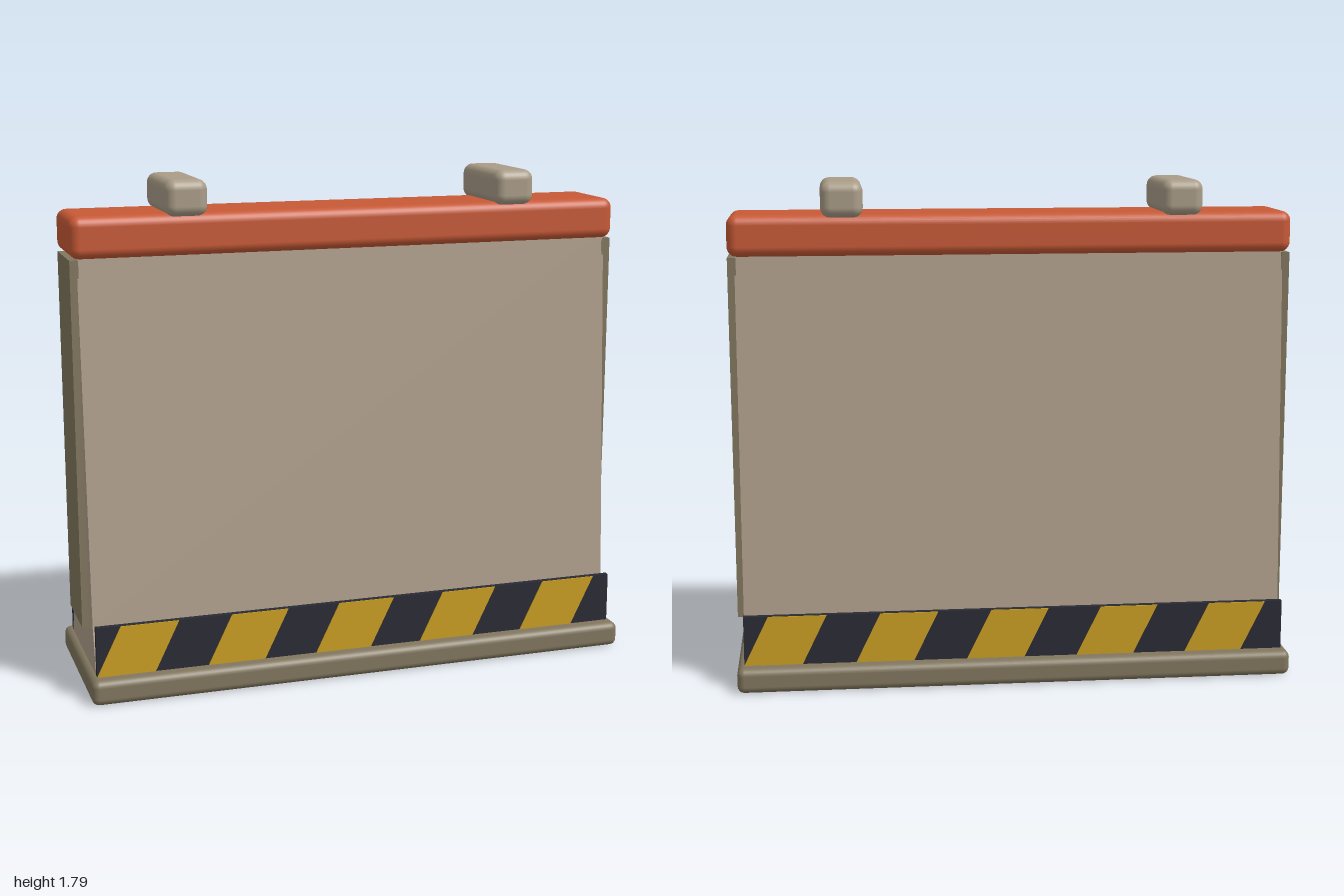
import * as THREE from 'three';
import { RoundedBoxGeometry } from 'three/addons/geometries/RoundedBoxGeometry.js';

const material = (name, color) => {
  const m = new THREE.MeshStandardMaterial({ color });
  m.name = name;
  return m;
};

export function createModel() {
  const concrete = material('concrete', 0xb0a08c);
  const darkConcrete = material('darkConcrete', 0x82775f);
  const lugStone = material('lugStone', 0xaa9d88);
  const orange = material('orange', 0xc85a36);
  const black = material('black', 0x2b2b35);
  const yellow = material('yellow', 0xcba023);

  const model = new THREE.Group();
  model.name = 'barrier';

  const add = (parent, name, geometry, mat, x = 0, y = 0, z = 0) => {
    const mesh = new THREE.Mesh(geometry, mat);
    mesh.name = name;
    mesh.position.set(x, y, z);
    parent.add(mesh);
    return mesh;
  };

  // Rounded foot slab
  add(model, 'base', new RoundedBoxGeometry(2, 0.09, 0.624, 3, 0.025), darkConcrete, 0, 0.045, 0);

  // Tapered wall with a flared foot, extruded along x
  const half = [[0.243, 0.08], [0.2, 0.255], [0.122, 1.56]];
  const outline = [...half, ...half.map(([z, y]) => [-z, y]).reverse()];
  const profile = new THREE.Shape(outline.map(([z, y]) => new THREE.Vector2(z, y)));
  const wall = new THREE.ExtrudeGeometry(profile, { depth: 1.95, bevelEnabled: false });
  wall.translate(0, 0, -0.975);
  wall.rotateY(Math.PI / 2);
  add(model, 'wall', wall, concrete);

  // Raised panels on the two ends
  for (const side of [-1, 1]) {
    add(model, side > 0 ? 'leftEndPanel' : 'rightEndPanel',
      new THREE.BoxGeometry(0.03, 1.3, 0.255), darkConcrete, side * 0.985, 0.88, 0);
  }

  // Top rail and the two lifting lugs across it
  add(model, 'topRail', new RoundedBoxGeometry(2, 0.145, 0.308, 4, 0.035), orange, 0, 1.605, 0);
  for (const side of [-1, 1]) {
    add(model, side > 0 ? 'leftLug' : 'rightLug',
      new RoundedBoxGeometry(0.148, 0.125, 0.35, 4, 0.035), lugStone, side * 0.6, 1.73, 0);
  }

  // Hazard boards: the back one is the front one turned half a circle
  const slanted = new THREE.Shape([
    new THREE.Vector2(-0.147, -0.089), new THREE.Vector2(0.06, -0.089),
    new THREE.Vector2(0.147, 0.089), new THREE.Vector2(-0.06, 0.089),
  ]);
  const stripe = new THREE.ExtrudeGeometry(slanted, { depth: 0.004, bevelEnabled: false });
  for (const name of ['frontHazardBoard', 'backHazardBoard']) {
    const board = new THREE.Group();
    board.name = name;
    add(board, 'boardPlate', new THREE.BoxGeometry(1.95, 0.18, 0.02), black, 0, 0.18, 0.251);
    for (let i = 0; i < 5; i++) {
      add(board, 'hazardStripe', stripe, yellow, -0.828 + i * 0.398, 0.18, 0.261);
    }
    if (name === 'backHazardBoard') board.rotation.y = Math.PI;
    model.add(board);
  }

  return model;
}
